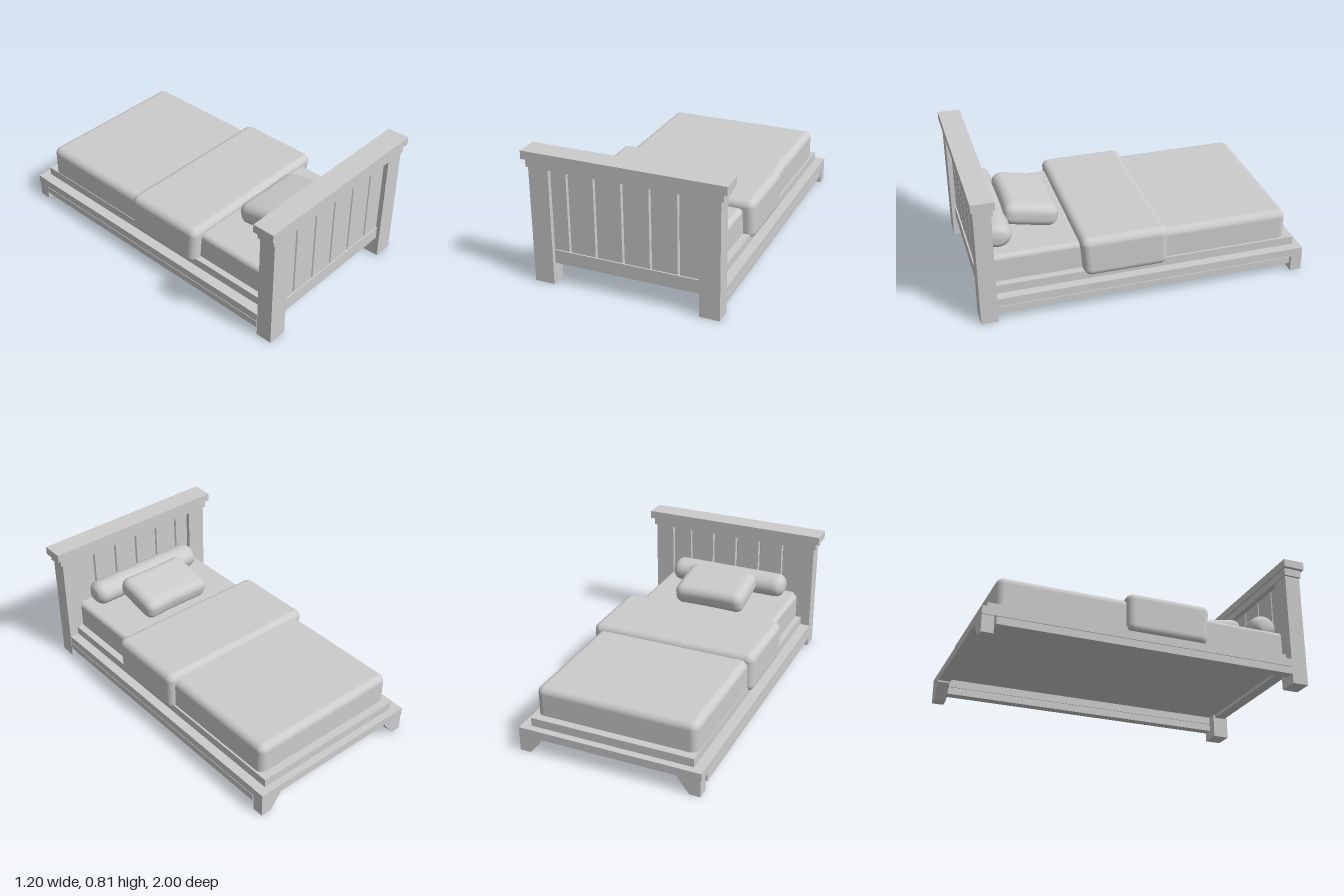
import * as THREE from 'three';
import { mergeVertices } from 'three/addons/utils/BufferGeometryUtils.js';
import { RoundedBoxGeometry } from 'three/addons/geometries/RoundedBoxGeometry.js';

export function createModel() {
  const bed = new THREE.Group();
  bed.name = 'singleBed';
  const grey = new THREE.MeshStandardMaterial({ color: 0xcccccc });
  grey.name = 'plain grey';

  const add = (name, geometry) => {
    const mesh = new THREE.Mesh(geometry, grey);
    mesh.name = name;
    bed.add(mesh);
    return mesh;
  };
  // Boxes given by their limits along each axis
  const place = (mesh, x0, x1, y0, y1, z0, z1) =>
    mesh.position.set((x0 + x1) / 2, (y0 + y1) / 2, (z0 + z1) / 2);
  const box = (name, x0, x1, y0, y1, z0, z1) =>
    place(add(name, new THREE.BoxGeometry(x1 - x0, y1 - y0, z1 - z0)), x0, x1, y0, y1, z0, z1);
  const softBox = (name, r, x0, x1, y0, y1, z0, z1) => {
    const mesh = add(name, new RoundedBoxGeometry(x1 - x0, y1 - y0, z1 - z0, 5, r));
    place(mesh, x0, x1, y0, y1, z0, z1);
    return mesh;
  };
  const shapeOf = (points) => new THREE.Shape(points.map(([x, y]) => new THREE.Vector2(x, y)));

  // Headboard: two-step cap and bottom rail
  box('headboardCap', -0.602, 0.602, 0.757, 0.807, 0.865, 1);
  box('headboardMoulding', -0.58, 0.58, 0.71, 0.757, 0.877, 0.988);
  box('headboardRail', -0.441, 0.441, 0.13, 0.213, 0.895, 0.965);

  // Plank panel: a slab with V-grooves on both faces, extruded upwards
  const front = 0.956, back = 0.912;
  const grooves = [-0.345, -0.18, -0.015, 0.15, 0.315];
  const groovedEdge = (z, depth) => grooves.flatMap((x) => [[x - 0.007, z], [x, z + depth], [x + 0.007, z]]);
  const panelShape = shapeOf([
    [-0.447, -front], ...groovedEdge(-front, 0.014), [0.447, -front],
    [0.447, -back], ...groovedEdge(-back, -0.014).reverse(), [-0.447, -back],
  ]);
  const panel = add('headboardPlanks', new THREE.ExtrudeGeometry(panelShape, { depth: 0.53, bevelEnabled: false }));
  panel.rotation.x = -Math.PI / 2;
  panel.position.y = 0.19;

  // Posts
  for (const x of [-0.566, 0.444]) box('headboardPost', x, x + 0.121, 0, 0.71, 0.885, 0.985);

  // Side rails: two strips with a fine groove between
  for (const [x0, x1] of [[-0.57, -0.505], [0.505, 0.562]]) {
    box('sideRailUpper', x0, x1, 0.102, 0.152, -0.925, 0.885);
    box('sideRailLower', x0, x1, 0.055, 0.098, -0.92, 0.885);
    box('sideRailCore', x0 + 0.005, x1 - 0.005, 0.095, 0.105, -0.92, 0.885);
  }

  // Foot rail and sloped bracket feet
  box('footRail', -0.568, 0.563, 0.102, 0.152, -1, -0.925);
  const footShape = shapeOf([[0.425, 0.102], [0.425, 0.092], [0.497, 0], [0.563, 0], [0.563, 0.102]]);
  for (const s of [-1, 1]) {
    const foot = add('bracketFoot', new THREE.ExtrudeGeometry(footShape, { depth: 0.07, bevelEnabled: false }));
    foot.rotation.y = s < 0 ? Math.PI : 0;
    foot.position.z = s < 0 ? -0.93 : -1;
  }
  box('mattressPlatform', -0.507, 0.505, 0.15, 0.205, -0.957, 0.9);

  // Bedding
  softBox('mattress', 0.03, -0.469, 0.461, 0.16, 0.37, -0.3, 0.93);
  softBox('blanket', 0.045, -0.503, 0.493, 0.16, 0.386, -0.908, 0);
  const fold = softBox('foldedBlanket', 0.045, -0.538, 0.53, 0.17, 0.42, -0.148, 0.376);
  const fp = fold.geometry.attributes.position;
  for (let i = 0; i < fp.count; i++) {
    // Head-side edge tucks in towards the bottom
    if (fp.getZ(i) > 0) fp.setZ(i, fp.getZ(i) - 0.02 * (0.5 - fp.getY(i) / 0.25));
  }

  // Bolster, turned about the x axis and pressed against the headboard
  const bolsterProfile = [
    [0, -0.397], [0.036, -0.395], [0.05, -0.387], [0.067, -0.37], [0.073, -0.355], [0.075, -0.33],
  ];
  const mirrored = bolsterProfile.map(([r, y]) => [r, -y]).reverse();
  const bolster = add('bolster', new THREE.LatheGeometry(
    [...bolsterProfile, ...mirrored].map(([r, y]) => new THREE.Vector2(r, y)), 28));
  bolster.rotation.z = -Math.PI / 2;
  bolster.scale.z = 1.15;
  bolster.position.set(-0.004, 0.44, 0.826);

  // Pillow: a rounded box with pinched ends and a soft crown
  let pillowGeo = new THREE.BoxGeometry(0.47, 0.142, 0.337, 30, 12, 22);
  pillowGeo.deleteAttribute('uv');
  pillowGeo.deleteAttribute('normal');
  pillowGeo = mergeVertices(pillowGeo);
  const p = pillowGeo.attributes.position;
  const r = 0.055;
  const v = new THREE.Vector3();
  const core = new THREE.Vector3(0.235 - r, 0.071 - r, 0.1685 - r);
  for (let i = 0; i < p.count; i++) {
    v.fromBufferAttribute(p, i);
    const c = v.clone().clamp(core.clone().negate(), core);
    v.sub(c).setLength(r).add(c);
    const u = v.x / 0.235, w = v.z / 0.1685;
    v.z *= 1 - 0.05 * (1 - u * u);
    v.y *= 1 - 0.06 * w * w;
    p.setXYZ(i, v.x, v.y, v.z);
  }
  pillowGeo.computeVertexNormals();
  const pillow = add('pillow', pillowGeo);
  pillow.position.set(0.002, 0.453, 0.597);
  pillow.rotation.x = -0.2;

  return bed;
}
